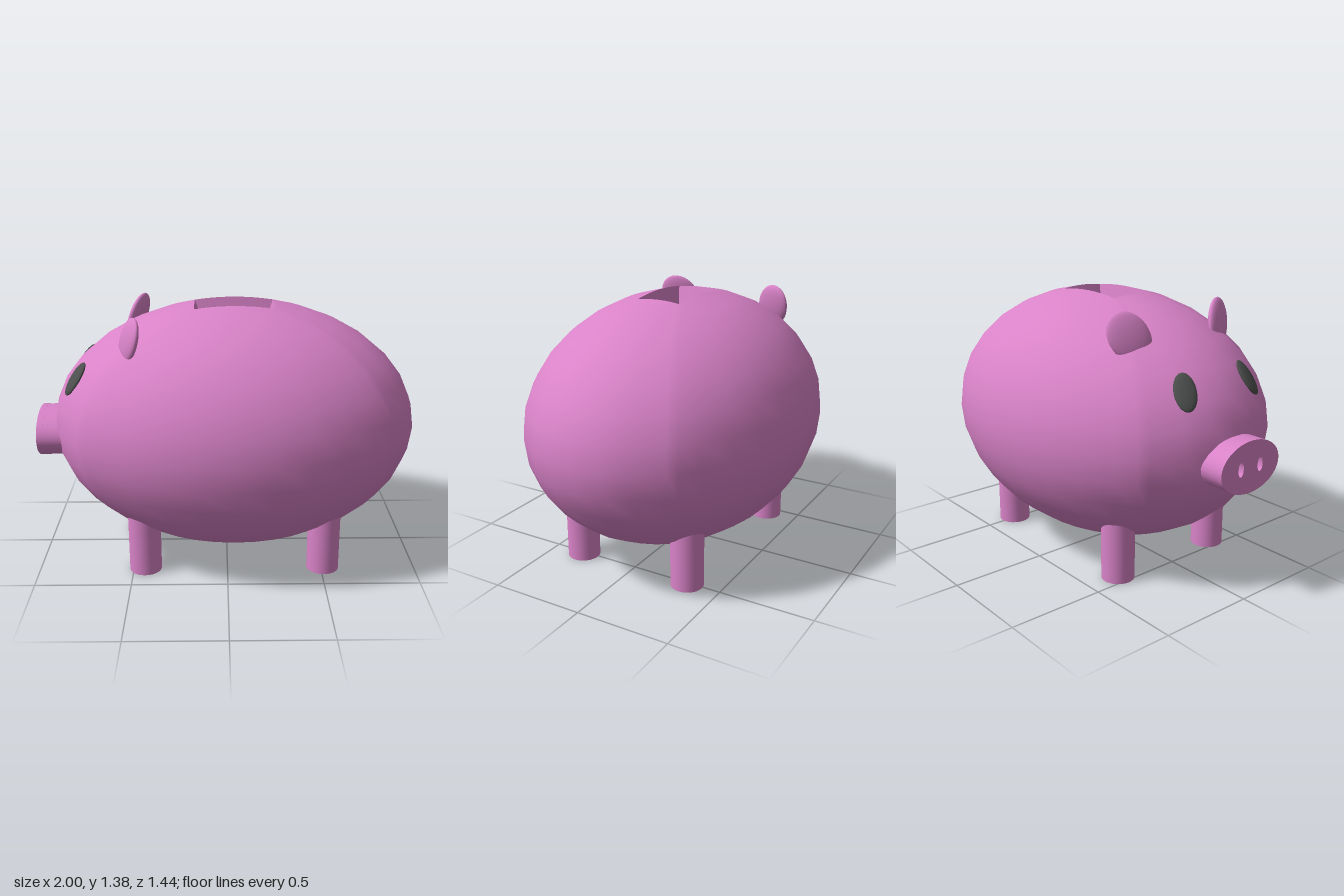
import * as THREE from 'three';
import { toCreasedNormals } from 'three/addons/utils/BufferGeometryUtils.js';

const CENTER = new THREE.Vector3(0.04, 0.733, 0);

// Skin a list of closed loops of points
function skin(loops, flip) {
  const n = loops[0].length, index = [];
  for (let j = 0; j < loops.length - 1; j++) {
    for (let i = 0; i < n; i++) {
      const k = (i + 1) % n;
      const a = j * n + i, b = j * n + k, c = a + n, d = b + n;
      if (flip) index.push(a, c, b, b, c, d);
      else index.push(a, b, c, b, d, c);
    }
  }
  const geo = new THREE.BufferGeometry().setFromPoints(loops.flat());
  geo.setIndex(index);
  geo.computeVertexNormals();
  return geo;
}

// Loops of an ellipsoid whose top is opened by a rectangular slot
function slottedLoops(a, b, c, halfX, halfZ) {
  const hx = halfX / a, hz = halfZ / c, corner = Math.atan2(hz, hx);
  const angles = [corner, Math.PI - corner, Math.PI + corner, 2 * Math.PI - corner];
  for (let i = 0; i < 32; i++) angles.push(i * Math.PI / 16);
  angles.sort((p, q) => p - q);
  const loops = [];
  for (let j = 1; j <= 16; j++) {
    loops.push(angles.map((t) => {
      const r = Math.min(hx / Math.max(Math.abs(Math.cos(t)), 1e-6), hz / Math.max(Math.abs(Math.sin(t)), 1e-6));
      const phi = j === 1 ? Math.asin(r) : j * Math.PI / 16;
      return new THREE.Vector3(
        a * Math.sin(phi) * Math.cos(t), b * Math.cos(phi), c * Math.sin(phi) * Math.sin(t)).add(CENTER);
    }));
  }
  return loops;
}

export function createModel() {
  const model = new THREE.Group();
  const pink = new THREE.MeshStandardMaterial({ color: 0xd983c8 });
  pink.name = 'pink';
  const dark = new THREE.MeshStandardMaterial({ color: 0x4c4f4d });
  dark.name = 'dark grey';

  const add = (name, geo, mat, parent = model) => {
    const mesh = new THREE.Mesh(geo, mat);
    mesh.name = name;
    parent.add(mesh);
    return mesh;
  };

  // Flattened ellipsoid: radii along side, up and normal axes
  const lens = (name, mat, pos, normal, up, radii) => {
    const n = normal.clone().normalize();
    const u = up.clone().addScaledVector(n, -up.dot(n)).normalize();
    const s = u.clone().cross(n);
    const geo = new THREE.SphereGeometry(1, 32, 20);
    geo.scale(...radii);
    geo.applyMatrix4(new THREE.Matrix4().makeBasis(s, u, n).setPosition(pos));
    return add(name, geo, mat);
  };

  // Hollow body with a coin slot in its back
  const outer = slottedLoops(0.96, 0.655, 0.72, 0.207, 0.12);
  const inner = slottedLoops(0.86, 0.555, 0.62, 0.175, 0.104);
  add('body', skin(outer, false), pink);
  add('bodyInside', skin(inner, true), pink);
  add('coinSlotWalls', toCreasedNormals(skin([outer[0], inner[0]], true), 0.5), pink);

  // Oval snout with two shallow nostrils
  const snout = new THREE.Group();
  snout.name = 'snout';
  model.add(snout);
  const disc = new THREE.Shape().absellipse(0, 0, 0.195, 0.128, 0, Math.PI * 2);
  for (const s of [-1, 1]) {
    disc.holes.push(new THREE.Path().absellipse(s * 0.065, 0, 0.018, 0.036, 0, Math.PI * 2, true));
  }
  const tip = new THREE.ExtrudeGeometry(disc, { depth: 0.03, bevelEnabled: false, curveSegments: 32 });
  tip.rotateY(-Math.PI / 2).translate(-0.97, 0.682, 0);
  add('snoutTip', toCreasedNormals(tip, 0.7), pink, snout);
  const base = new THREE.CylinderGeometry(1, 1, 0.17, 32);
  base.rotateZ(Math.PI / 2).scale(1, 0.128, 0.195).translate(-0.885, 0.682, 0);
  add('snoutBase', base, pink, snout);

  for (const s of [1, -1]) {
    const side = s > 0 ? 'left' : 'right';

    // Legs
    for (const [x, end] of [[-0.437, 'Front'], [0.51, 'Back']]) {
      const leg = new THREE.CylinderGeometry(0.085, 0.085, 0.36, 32);
      leg.translate(x, 0.18, s * 0.32);
      add(`${side}${end}Leg`, leg, pink);
    }

    // Eyes lying on the body surface
    lens(`${side}Eye`, dark, new THREE.Vector3(-0.772, 1.025, s * 0.208),
      new THREE.Vector3(-0.756, 0.558, s * 0.342), new THREE.Vector3(0, 1, 0), [0.056, 0.095, 0.018]);

    // Ears
    lens(`${side}Ear`, pink, new THREE.Vector3(-0.485, 1.243, s * 0.295),
      new THREE.Vector3(-0.92, 0.2, s * 0.38), new THREE.Vector3(0.35, 0.85, s * 0.5), [0.1, 0.13, 0.03]);
  }
  return model;
}
